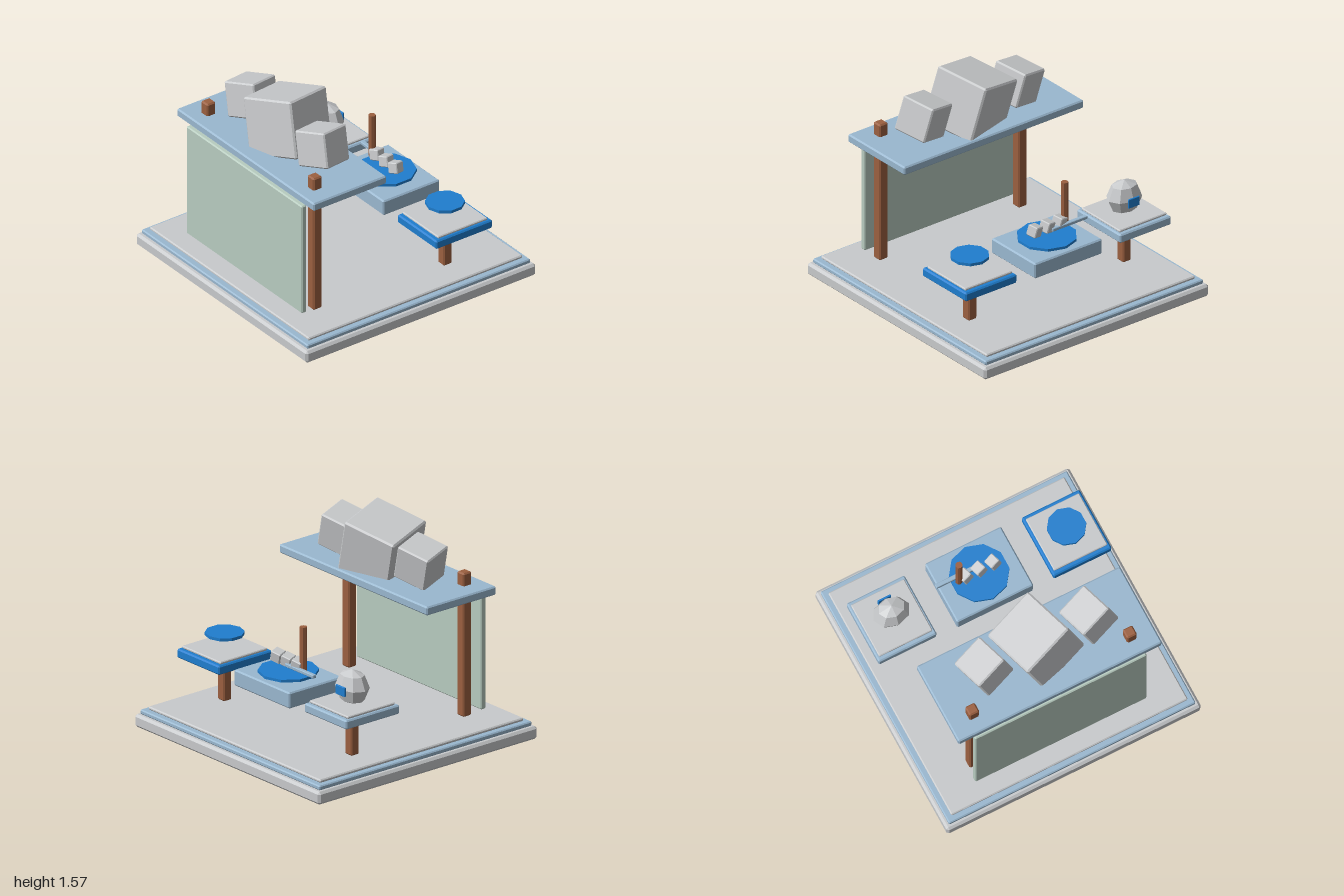
import * as THREE from 'three';
import { ConvexGeometry } from 'three/addons/geometries/ConvexGeometry.js';

const mat = (name, color, flatShading = false) => {
  const m = new THREE.MeshStandardMaterial({ color, flatShading });
  m.name = name;
  return m;
};

// Box with flat chamfered edges, centred on the origin
function chamferBox(w, h, d, c) {
  const half = [w / 2, h / 2, d / 2];
  const points = [];
  for (const sx of [-1, 1]) for (const sy of [-1, 1]) for (const sz of [-1, 1]) {
    for (let axis = 0; axis < 3; axis++) {
      const p = half.map((v, i) => (i === axis ? v : v - c));
      points.push(new THREE.Vector3(sx * p[0], sy * p[1], sz * p[2]));
    }
  }
  return new ConvexGeometry(points);
}

export function createModel() {
  const grey = mat('light grey', 0xc8cacc, true);
  const pale = mat('pale blue', 0x9ab8d0, true);
  const blue = mat('bright blue', 0x1f7ecf, true);
  const wood = mat('brown wood', 0x9c6040, true);
  const green = mat('pale green', 0xb8ccc0, true);

  const model = new THREE.Group();
  const add = (name, geometry, material, x, y, z) => {
    const mesh = new THREE.Mesh(geometry, material);
    mesh.name = name;
    mesh.position.set(x, y, z);
    model.add(mesh);
    return mesh;
  };
  // Chamfered box given by its centre in x and z and its bottom and top
  const slab = (name, material, x, z, w, d, y0, y1, c = 0.008) =>
    add(name, chamferBox(w, y1 - y0, d, c), material, x, (y0 + y1) / 2, z);
  const disc = (name, x, z, r, y0, y1) =>
    add(name, new THREE.CylinderGeometry(r, r, y1 - y0, 10), blue, x, (y0 + y1) / 2, z);
  // Tilted block, all sharing one orientation
  const block = (name, size, c, x, y, z) =>
    add(name, chamferBox(size, size, size, c), grey, x, y, z).rotation.set(-0.154, 0.274, 0.284);

  // Stepped base
  slab('base', grey, 0, 0, 2, 2, 0, 0.095, 0.017);
  slab('baseTrim', pale, 0, 0, 1.94, 1.94, 0.095, 0.13);
  slab('floor', grey, 0, 0, 1.86, 1.86, 0.13, 0.155);

  // Front stand: canopy on two posts with a hanging panel
  slab('canopy', pale, 0, 0.472, 1.6, 0.635, 1.07, 1.135, 0.01);
  slab('frontPanel', green, 0, 0.778, 1.35, 0.044, 0.18, 1.055, 0.008);
  for (const s of [-1, 1]) slab('canopyPost', wood, s * 0.62, 0.647, 0.076, 0.076, 0.155, 1.23, 0.01);

  // Tilted blocks on the canopy
  block('largeBlock', 0.42, 0.012, 0, 1.295, 0.42);
  for (const s of [-1, 1]) block('sideBlock', 0.26, 0.01, s * 0.412, 1.297, 0.427);

  // Side tables
  for (const s of [-1, 1]) {
    slab('tablePost', wood, s * 0.688, -0.435, 0.074, 0.074, 0.155, 0.46, 0.01);
    slab('tableTop', s > 0 ? blue : pale, s * 0.688, -0.435, 0.456, 0.49, 0.46, 0.528, 0.01);
    slab('tableMat', grey, s * 0.688, -0.435, 0.42, 0.43, 0.528, 0.548, 0.006);
  }
  disc('floatingDisc', 0.688, -0.435, 0.14, 0.64, 0.662);

  // Faceted stone with a small plate on its back
  add('stone', new THREE.SphereGeometry(1, 8, 4), grey, -0.69, 0.66, -0.435).scale.set(0.14, 0.13, 0.108);
  slab('stonePlate', blue, -0.69, -0.541, 0.1, 0.014, 0.62, 0.69, 0.003);

  // Centre display: disc, row of small blocks, rod and flat bar
  slab('centreTable', pale, 0, -0.435, 0.6, 0.49, 0.435, 0.555, 0.01);
  disc('centreDisc', 0, -0.435, 0.215, 0.565, 0.585);
  for (const x of [-0.11, 0, 0.11]) block('smallBlock', 0.08, 0.006, x, 0.655, -0.437);
  add('rod', new THREE.CylinderGeometry(0.026, 0.026, 0.33, 8), wood, -0.16, 0.785, -0.433);
  slab('flatBar', pale, -0.17, -0.468, 0.31, 0.032, 0.62, 0.645, 0.004);

  return model;
}
